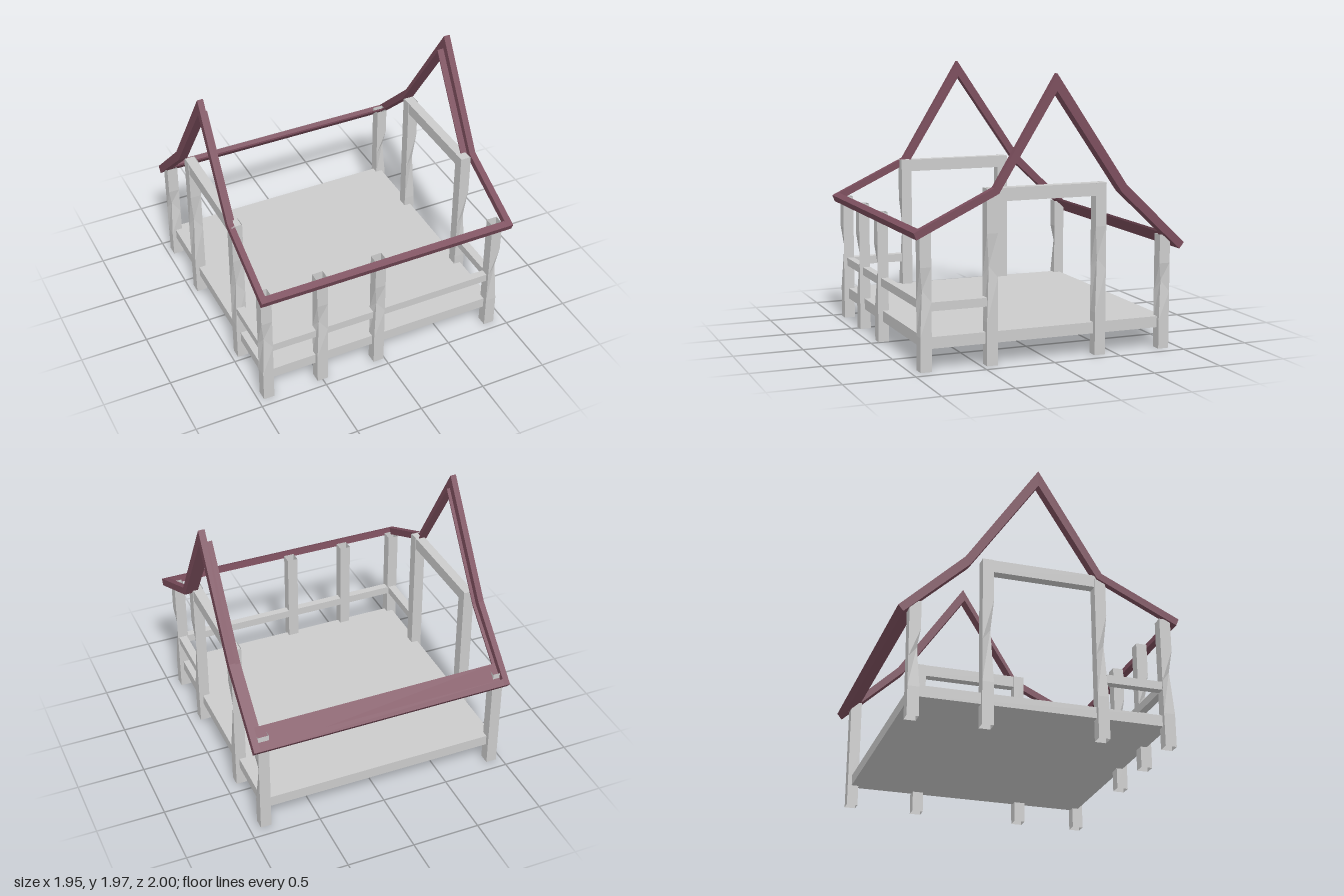
import * as THREE from 'three';

const grey = new THREE.MeshStandardMaterial({ color: 0xcccccc, flatShading: true, side: THREE.DoubleSide });
const plum = new THREE.MeshStandardMaterial({ color: 0x7c4e5d, flatShading: true, side: THREE.DoubleSide });

// Box given by its limits on each axis
function slab(name, x0, x1, y0, y1, z0, z1) {
  const mesh = new THREE.Mesh(new THREE.BoxGeometry(x1 - x0, y1 - y0, z1 - z0), grey);
  mesh.position.set((x0 + x1) / 2, (y0 + y1) / 2, (z0 + z1) / 2);
  mesh.name = name;
  return mesh;
}

// Square open-ended post with one worn corner part way up
function post(name, x, z, height, corner) {
  const w = 0.08;
  const geo = new THREE.CylinderGeometry(w / Math.SQRT2, w / Math.SQRT2, height, 4, 4, true);
  geo.rotateY(Math.PI / 4);
  geo.translate(0, height / 2, 0);
  const p = geo.attributes.position;
  const [cx, cz] = corner;
  for (let i = 0; i < p.count; i++) {
    const level = Math.round((p.getY(i) / height) * 4);
    if (level === 2 && p.getX(i) * cx > 0 && p.getZ(i) * cz > 0) {
      p.setX(i, p.getX(i) - cx * 0.02);
      p.setZ(i, p.getZ(i) - cz * 0.02);
      p.setY(i, p.getY(i) + 0.08);
    }
  }
  geo.computeVertexNormals();
  const mesh = new THREE.Mesh(geo, grey);
  mesh.position.set(x, 0, z);
  mesh.name = name;
  return mesh;
}

// Extrudes a [z, y] outline along x
function alongX(name, outline, x0, x1) {
  const shape = new THREE.Shape(outline.map(([z, y]) => new THREE.Vector2(-z, y)));
  const geo = new THREE.ExtrudeGeometry(shape, { depth: x1 - x0, bevelEnabled: false });
  geo.rotateY(Math.PI / 2);
  geo.translate(x0, 0, 0);
  const mesh = new THREE.Mesh(geo, plum);
  mesh.name = name;
  return mesh;
}

export function createModel() {
  const model = new THREE.Group();
  model.name = 'houseFrame';
  const R = -0.92, L = 0.88; // post lines on the right and left sides

  model.add(slab('floor', -0.93, 0.89, 0.15, 0.23, -0.89, 0.905));

  // Posts
  const posts = new THREE.Group();
  posts.name = 'posts';
  for (const x of [R, L]) {
    const s = Math.sign(x);
    posts.add(post('frontCornerPost', x, 0.9, 0.945, [s, 1]));
    posts.add(post('frontDoorPost', x, 0.425, 1.21, [s, 1]));
    posts.add(post('backDoorPost', x, -0.38, 1.21, [s, 1]));
    posts.add(post('backCornerPost', x, -0.88, 0.82, [s, 1]));
  }
  posts.add(post('porchPost', -0.5, 0.9, 0.945, [-1, 1]));
  posts.add(post('porchPost', -0.05, 0.9, 0.945, [-1, 1]));
  model.add(posts);

  // Porch rails, with gaps at the posts
  for (const [a, b] of [[-0.88, -0.54], [-0.46, -0.09], [-0.01, 0.84]])
    model.add(slab('frontRail', a, b, 0.41, 0.47, 0.86, 0.915));
  for (const x of [R, L]) {
    model.add(slab('sideRail', x - 0.03, x + 0.03, 0.41, 0.47, 0.46, 0.865));
    model.add(slab('doorLintel', x - 0.035, x + 0.035, 1.12, 1.21, -0.42, 0.46));
  }

  // Gable rafters: upper and lower edges from front to back
  const upper = [[1, 0.952], [0.435, 1.22], [-0.02, 1.968], [-0.545, 1.198], [-1, 0.765]];
  const lower = [[0.98, 0.904], [0.4, 1.18], [-0.02, 1.85], [-0.51, 1.144], [-0.965, 0.722]];
  const rafter = [...upper, ...lower.slice().reverse()];
  model.add(alongX('rightRafter', rafter, -0.975, -0.932));
  model.add(alongX('leftRafter', rafter, 0.928, 0.975));

  // Thin boards lining the underside of the gables
  const under = lower.slice(1);
  const lining = [...under.map(([z, y]) => [z, y + 0.015]), ...under.slice().reverse()];
  model.add(alongX('rightLining', lining, -0.935, -0.908));
  model.add(alongX('leftLining', lining, 0.88, 0.93));

  // Eaves across the front and back
  model.add(alongX('frontEave', [[1, 0.952], [0.955, 0.973], [0.945, 0.922], [0.98, 0.904]], -0.974, 0.974));
  model.add(alongX('backEave', [[-1, 0.765], [-0.965, 0.798], [-0.935, 0.75], [-0.965, 0.722]], -0.974, 0.974));
  model.add(alongX('backEaveBoard', [[-0.965, 0.737], [-0.84, 0.853], [-0.84, 0.838], [-0.965, 0.722]], -0.935, 0.93));
  return model;
}
